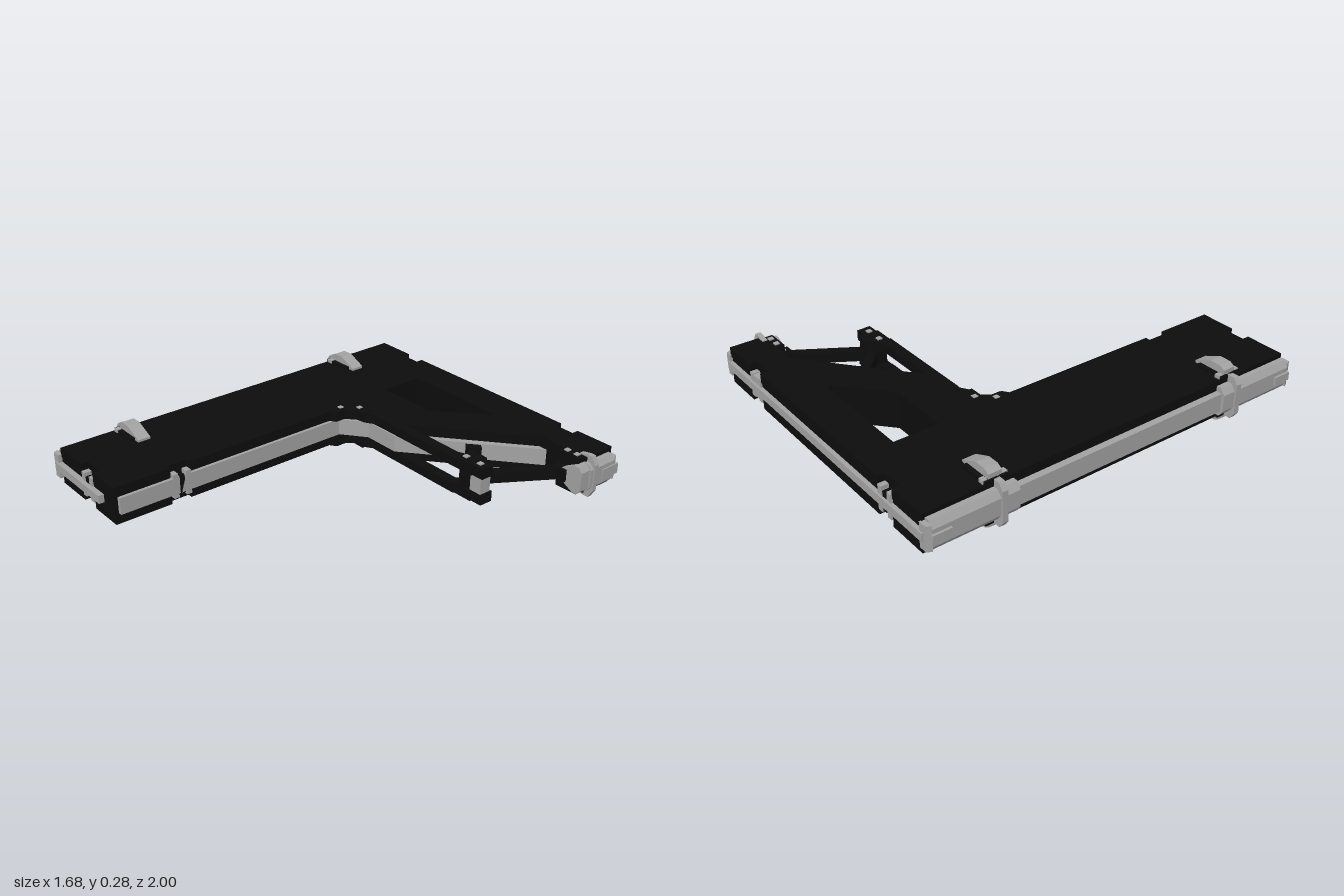
import * as THREE from 'three';

const black = new THREE.MeshStandardMaterial({ color: 0x0d0d0d });
black.name = 'black';
const grey = new THREE.MeshStandardMaterial({ color: 0xa2a2a2 });
grey.name = 'grey';
const MID = 0.144; // mirror plane between upper and lower halves

export function createModel() {
  const root = new THREE.Group();
  root.name = 'angledPlatform';

  const add = (name, geo, mat) => {
    const m = new THREE.Mesh(geo, mat);
    m.name = name;
    root.add(m);
    return m;
  };
  const box = (name, mat, x0, x1, y0, y1, z0, z1) =>
    add(name, new THREE.BoxGeometry(x1 - x0, y1 - y0, z1 - z0), mat)
      .position.set((x0 + x1) / 2, (y0 + y1) / 2, (z0 + z1) / 2);
  const flat = (pts) => pts.map(([x, z]) => new THREE.Vector2(x, -z));
  // Horizontal slab from an x,z outline
  const slab = (name, mat, pts, y0, y1, hole) => {
    const s = new THREE.Shape(flat(pts));
    if (hole) s.holes.push(new THREE.Path(flat(hole)));
    const g = new THREE.ExtrudeGeometry(s, { depth: y1 - y0, bevelEnabled: false });
    g.rotateX(-Math.PI / 2).translate(0, y0, 0);
    return add(name, g, mat);
  };
  // Prism along z from an x,y section
  const prism = (name, mat, pts, z0, z1) => {
    const s = new THREE.Shape(pts.map(([x, y]) => new THREE.Vector2(x, y)));
    const g = new THREE.ExtrudeGeometry(s, { depth: z1 - z0, bevelEnabled: false });
    return add(name, g.translate(0, 0, z0), mat);
  };
  // Same box above and below the mirror plane
  const pair = (name, mat, x0, x1, lo, hi, z0, z1) => {
    box(name + 'Upper', mat, x0, x1, MID + lo, MID + hi, z0, z1);
    box(name + 'Lower', mat, x0, x1, MID - hi, MID - lo, z0, z1);
  };
  // Flat bar between two x,z points
  const bar = (name, a, b, w, y0, y1) => {
    const dx = b[0] - a[0], dz = b[1] - a[1];
    const m = add(name, new THREE.BoxGeometry(Math.hypot(dx, dz), y1 - y0, w), black);
    m.position.set((a[0] + b[0]) / 2, (y0 + y1) / 2, (a[1] + b[1]) / 2);
    m.rotation.y = -Math.atan2(dz, dx);
  };

  // Upper and lower plates with notches for the small latches
  const outline = [
    [-0.78, 0.975], [-0.58, 0.975], [-0.58, 0.94], [-0.48, 0.94], [-0.48, 0.975],
    [-0.30, 0.975], [-0.30, 0.69], [-0.325, 0.69], [-0.325, 0.59], [-0.30, 0.59],
    [-0.30, -0.21], [-0.27, -0.23], [-0.27, -0.28], [-0.24, -0.32], [-0.18, -0.33],
    [-0.14, -0.355], [0, -0.36], [0.02, -0.385], [0.53, -0.81], [0.79, -0.81],
    [0.79, -0.985], [0.59, -0.985], [0.59, -0.95], [0.49, -0.95], [0.49, -0.985],
    [-0.48, -0.985], [-0.48, -0.95], [-0.58, -0.95], [-0.58, -0.985], [-0.78, -0.985],
  ];
  const windowHole = [[-0.32, -0.81], [0.21, -0.81], [0.21, -0.785], [-0.01, -0.59], [-0.32, -0.59]];
  slab('upperPlate', black, outline, MID + 0.042, MID + 0.091, windowHole);
  slab('lowerPlate', black, outline, MID - 0.091, MID - 0.042, windowHole);

  // Solid core between the plates
  slab('core', black, [
    [-0.78, 0.973], [-0.305, 0.973], [-0.305, -0.25], [-0.18, -0.37], [0, -0.38],
    [0.52, -0.815], [0.788, -0.815], [0.788, -0.98], [-0.78, -0.98],
  ], MID - 0.042, MID + 0.042, windowHole);

  // Grey liner along the inner edge
  slab('innerLiner', grey, [
    [-0.285, 0.955], [-0.285, -0.26], [-0.17, -0.35], [0.02, -0.35], [0.565, -0.805],
    [0.50, -0.805], [0, -0.39], [-0.2, -0.39], [-0.315, -0.28], [-0.315, 0.955],
  ], MID - 0.041, MID + 0.041);

  // Side rail, and thin rails wrapping both ends
  box('sideRail', grey, -0.812, -0.78, MID - 0.045, MID + 0.045, -0.56, 0.56);
  box('backRail', grey, -0.8, 0.8, MID - 0.02, MID + 0.02, -1, -0.98);
  box('frontRail', grey, -0.8, -0.395, MID - 0.02, MID + 0.02, 0.973, 1);

  // Chamfered corner bumpers on the long side
  const bumper = (h, x) => [
    [-0.77, -h], [-x + 0.022, -h], [-x, -h + 0.03], [-x, h - 0.03], [-x + 0.022, h], [-0.77, h],
  ].reverse().map(([px, y]) => [px, MID + y]);
  for (const s of [-1, 1]) {
    const [a, b] = s < 0 ? [-0.97, -0.56] : [0.56, 0.97];
    prism('cornerBumper', grey, bumper(0.07, 0.827), a, b);
    slab('bumperCorner', grey, [
      [-0.827, s * 0.97], [-0.815, s * 0.993], [-0.775, s * 0.993], [-0.775, s * 0.97],
    ], MID - 0.06, MID + 0.06);
    box('bumperLoop', grey, -0.838, -0.82, MID - 0.02, MID + 0.02, s * 0.93 - 0.045, s * 0.93 + 0.045);
    // Strap band and clamp over the plate edge
    const z = s * 0.64;
    prism('strapBand', grey, bumper(0.104, 0.836), z - 0.014, z + 0.014);
    pair('clampMount', black, -0.78, -0.63, 0.08, 0.104, z - 0.055, z + 0.055);
    for (const v of [-1, 1]) {
      const pts = [[-0.77, 0.085], [-0.60, 0.085], [-0.60, 0.102], [-0.67, 0.132],
        [-0.69, 0.14], [-0.745, 0.14], [-0.77, 0.125]];
      prism('clamp', grey, pts.map(([x, y]) => [x, MID + v * y]), z - 0.032, z + 0.032);
    }
    for (const d of [-0.048, 0.048])
      pair('clampPin', grey, -0.77, -0.744, 0.09, 0.108, z + d - 0.012, z + d + 0.012);
  }

  // Small edge latches: grey block with a black catch
  const latch = (x, z, turn, hasCatch) => {
    const g = new THREE.Group();
    g.name = 'edgeLatch';
    const part = (name, mat, w, h, d, px, py, pz) => {
      const m = new THREE.Mesh(new THREE.BoxGeometry(w, h, d), mat);
      m.name = name;
      m.position.set(px, py, pz);
      g.add(m);
    };
    part('latchBase', grey, 0.095, 0.085, 0.03, 0, 0, 0);
    for (const s of [-1, 1]) part('latchPost', grey, 0.026, 0.12, 0.036, s * 0.033, 0, 0);
    if (hasCatch) part('latchCatch', black, 0.026, 0.092, 0.034, 0, 0, 0);
    else part('latchFace', grey, 0.06, 0.11, 0.034, 0, 0, 0);
    g.position.set(x, MID, z);
    g.rotation.y = turn;
    root.add(g);
  };
  latch(-0.53, 0.962, 0, true);
  latch(-0.53, -0.972, Math.PI, true);
  latch(0.54, -0.972, Math.PI, false);
  latch(-0.302, 0.64, Math.PI / 2, true);

  // End cap on the short arm
  prism('endCap', grey, [
    [0.785, -0.07], [0.81, -0.07], [0.832, -0.045], [0.832, 0.045], [0.81, 0.07], [0.785, 0.07],
  ].map(([x, y]) => [x, MID + y]), -0.965, -0.80);
  slab('endCapCorner', grey, [[0.785, -0.965], [0.832, -0.965], [0.815, -0.993], [0.785, -0.993]],
    MID - 0.055, MID + 0.055);
  prism('endCapFoot', grey, [
    [0.71, -0.03], [0.78, -0.068], [0.805, -0.068], [0.825, -0.045],
    [0.825, 0.045], [0.805, 0.068], [0.78, 0.068], [0.71, 0.03],
  ].map(([x, y]) => [x, MID + y]), -0.81, -0.745);
  prism('endBand', grey, [
    [0.745, -0.095], [0.79, -0.104], [0.815, -0.104], [0.838, -0.065],
    [0.838, 0.065], [0.815, 0.104], [0.79, 0.104], [0.745, 0.095],
  ].map(([x, y]) => [x, MID + y]), -0.842, -0.818);
  box('endCapLoop', grey, 0.82, 0.838, MID - 0.025, MID + 0.025, -0.985, -0.88);

  // Brace: twin straight rails, hub and two diagonal struts
  pair('braceRail', black, -0.12, 0.42, 0.045, 0.09, -0.405, -0.353);
  for (const [lo, hi] of [[-0.091, -0.04], [0.04, 0.091]])
    slab('braceHub', black, [
      [0.39, -0.36], [0.52, -0.36], [0.52, -0.368], [0.578, -0.368], [0.578, -0.437],
      [0.53, -0.437], [0.51, -0.465], [0.46, -0.465], [0.43, -0.42], [0.39, -0.405],
    ], MID + lo, MID + hi);
  box('hubCore', black, 0.44, 0.505, MID - 0.04, MID + 0.04, -0.43, -0.365);
  box('hubBlock', grey, 0.505, 0.57, MID - 0.04, MID + 0.04, -0.43, -0.345 - 0.025);
  bar('innerStrut', [0.29, -0.60], [0.47, -0.42], 0.045, MID - 0.026, MID + 0.026);
  bar('outerStrut', [0.49, -0.42], [0.72, -0.79], 0.045, MID - 0.026, MID + 0.026);
  bar('strutFoot', [0.29, -0.60], [0.335, -0.565], 0.07, MID - 0.035, MID + 0.035);
  pair('strutMount', black, 0.66, 0.78, 0.03, 0.091, -0.83, -0.775);
  box('strutPivot', black, 0.67, 0.74, MID - 0.03, MID + 0.03, -0.82, -0.725);

  // Corner bracket and its pins
  pair('cornerBracketLong', black, -0.315, -0.272, 0.05, 0.094, -0.31, -0.24);
  pair('cornerBracketShort', black, -0.27, -0.18, 0.05, 0.094, -0.375, -0.322);
  for (const [x, z] of [[-0.30, -0.28], [-0.24, -0.35], [0.445, -0.40], [0.533, -0.40], [0.69, -0.80], [0.745, -0.80]])
    pair('pin', grey, x - 0.012, x + 0.012, 0.085, 0.097, z - 0.012, z + 0.012);

  return root;
}
